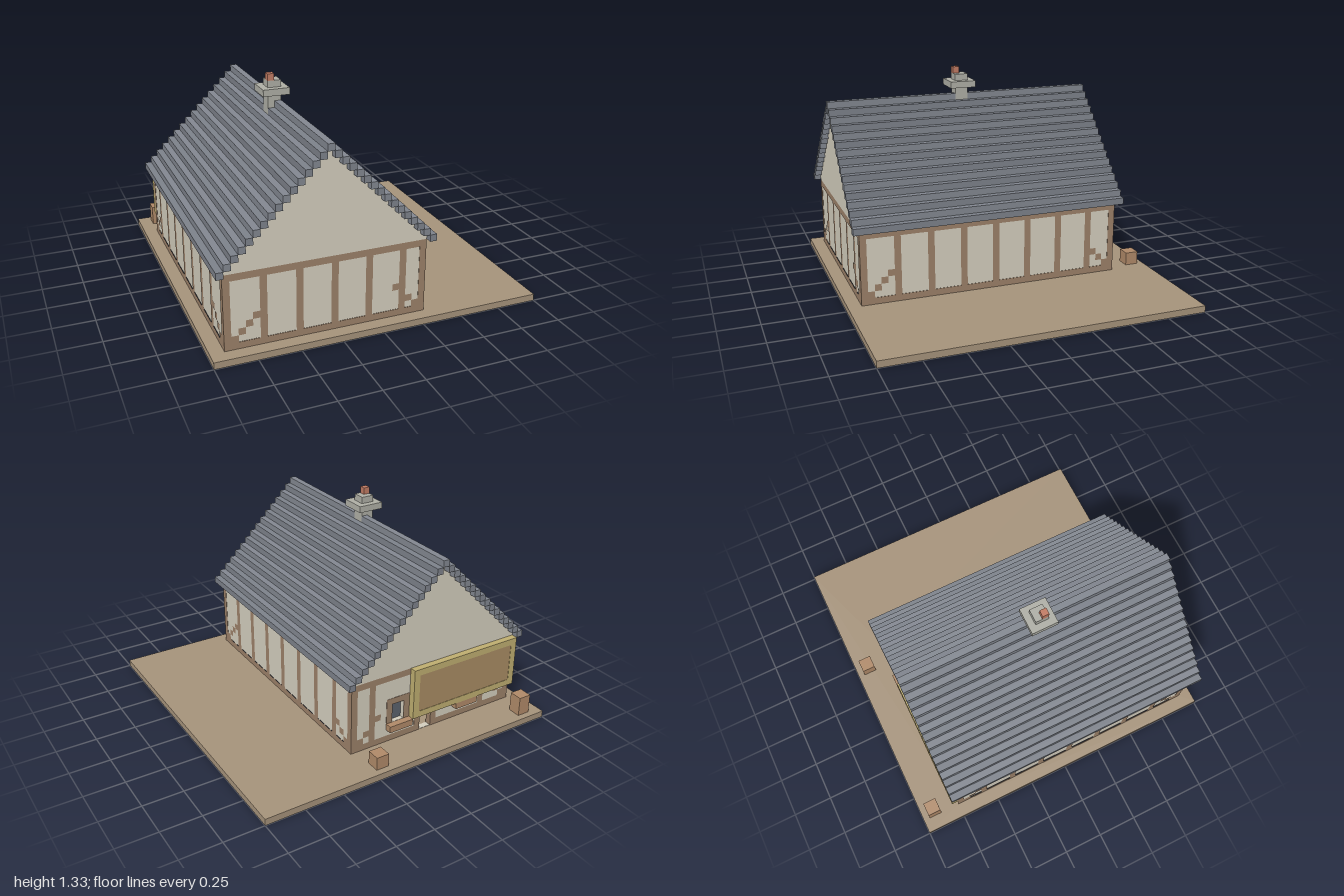
import * as THREE from 'three';

const U = 1 / 24; // one block; the plot is 48 x 48 blocks
const COLORS = {
  ground: 0xa6937b, frame: 0x9c8169, plaster: 0xd4cebe, slate: 0x838891, slateDark: 0x7d828b,
  stone: 0xafafa6, brick: 0xc27c64, gold: 0xbfae70, plank: 0xa98c64, crate: 0xb08a69, glass: 0x5a626c,
};
// The building is a shell seen from inside and below too
const mats = {};
for (const key in COLORS) {
  mats[key] = new THREE.MeshStandardMaterial({ color: COLORS[key], flatShading: true, side: THREE.DoubleSide });
}

// Faces of a box in index order: +x -x +y -y +z -z
const ALL = [0, 1, 2, 3, 4, 5];
const TUBE = [0, 1, 4, 5];
const NO_BOTTOM = [0, 1, 2, 4, 5];
const X_FACES = [0, 1];
const Z_FACES = [4, 5];
const IN = 0.05; // plaster sits a hair behind the timber

function add(parent, name, mat, geometry) {
  const mesh = new THREE.Mesh(geometry, mats[mat]);
  mesh.name = name;
  parent.add(mesh);
  return mesh;
}

// Box spanning block corners a..b, counted from the left/bottom/back of the plot
function block(parent, name, mat, a, b, faces = ALL) {
  const geo = new THREE.BoxGeometry((b[0] - a[0]) * U, (b[1] - a[1]) * U, (b[2] - a[2]) * U);
  const index = Array.from(geo.index.array);
  geo.setIndex(faces.flatMap((f) => index.slice(f * 6, f * 6 + 6)));
  geo.clearGroups();
  add(parent, name, mat, geo).position.set(
    (a[0] + b[0]) / 2 * U - 1, (a[1] + b[1]) / 2 * U, (a[2] + b[2]) / 2 * U - 1);
}

function group(parent, name) {
  const g = new THREE.Group();
  g.name = name;
  parent.add(g);
  return g;
}

const path = (P, points) => new P(points.map(([x, y]) => new THREE.Vector2(x * U, y * U)));
const rect = (P, x0, y0, x1, y1) => path(P, [[x0, y0], [x1, y0], [x1, y1], [x0, y1]]);

// Flat piece of floor at ground level, with an optional hole (x0, z0, x1, z1)
function floorPiece(parent, name, outer, hole) {
  const shape = rect(THREE.Shape, outer[0], -outer[3], outer[2], -outer[1]);
  if (hole) shape.holes.push(rect(THREE.Path, hole[0], -hole[3], hole[2], -hole[1]));
  const geo = new THREE.ShapeGeometry(shape).rotateX(-Math.PI / 2);
  add(parent, name, 'ground', geo).position.set(-1, U, -1);
}

// Timber frame of one wall; put(name, u0, v0, u1, v1) places a piece on the wall
function timber(put, length, posts, bottomGaps = []) {
  let start = 0;
  for (const [g0, g1] of [...bottomGaps, [length, length]]) {
    put('bottomRail', start, 1, g0, 2);
    start = g1;
  }
  put('topRail', 0, 11, length, 12);
  for (const p of posts) put('post', p, 2, p + 1, 11);
  for (let k = 1; k <= 4; k++) {
    put('brace', k, k + 1, k + 1, k + 2);
    put('brace', length - 1 - k, k + 1, length - k, k + 2);
  }
}

export function createModel() {
  const model = new THREE.Group();
  model.name = 'timberHouse';

  // Plot: open underneath, the floor stops at the walls and at the chimney
  const plot = group(model, 'plot');
  block(plot, 'plotEdge', 'ground', [0, 0, 0], [48, 1, 48], TUBE);
  floorPiece(plot, 'yard', [0, 0, 48, 48], [2, 6, 31, 46]);
  floorPiece(plot, 'houseFloor', [3, 7, 30, 45], [15, 25, 17, 27]);
  floorPiece(plot, 'threshold', [17, 6, 19, 7]);

  // Front wall
  const front = group(model, 'frontWall');
  block(front, 'plaster', 'plaster', [3, 2, 45 + IN], [30, 11, 46 - IN], Z_FACES);
  timber((n, u0, v0, u1, v1) => block(front, n, 'frame', [2 + u0, v0, 45], [2 + u1, v1, 46], Z_FACES),
    29, [0, 5, 10, 15, 20, 25, 28]);

  // Side walls
  for (const x of [2, 30]) {
    const side = group(model, x === 2 ? 'rightWall' : 'leftWall');
    block(side, 'plaster', 'plaster', [x + IN, 2, 7], [x + 1 - IN, 11, 45], X_FACES);
    block(side, 'wallTop', 'frame', [x, 11, 7], [x + 1, 12, 45], [2]);
    timber((n, u0, v0, u1, v1) => block(side, n, 'frame', [x, v0, 46 - u1], [x + 1, v1, 46 - u0], X_FACES),
      40, [0, 5, 10, 15, 20, 25, 30, 35, 39]);
  }

  // Back wall with a doorway and two windows cut through
  const back = group(model, 'backWall');
  const wallShape = rect(THREE.Shape, 2.1, 1, 30.9, 11.9);
  const openings = [[10, 4, 12, 7], [17, 1.05, 19, 7], [22, 4, 24, 7]];
  for (const o of openings) wallShape.holes.push(rect(THREE.Path, ...o));
  add(back, 'plaster', 'plaster',
    new THREE.ExtrudeGeometry(wallShape, { depth: (1 - 2 * IN) * U, bevelEnabled: false }))
    .position.set(-1, 0, (6 + IN) * U - 1);
  timber((n, u0, v0, u1, v1) => block(back, n, 'frame', [2 + u0, v0, 6], [2 + u1, v1, 7], Z_FACES),
    29, [0, 5, 25, 28], [[15, 17]]);
  for (const [x0, y0, x1, y1] of openings) {
    for (const x of [x0 - 1, x1]) block(back, 'jamb', 'frame', [x, y0, 6], [x + 1, y1, 7]);
    block(back, 'lintel', 'frame', [x0 - 1, y1, 6], [x1 + 1, y1 + 1, 7]);
    if (y0 > 2) {
      block(back, 'windowPane', 'glass', [x0, y0, 6.75], [x1, y1, 6.95], Z_FACES);
      block(back, 'windowLedge', 'crate', [x0 - 1, 3, 5], [x1 + 1, 4, 6]);
    }
  }

  // Stepped gables
  const gables = group(model, 'gables');
  const leftSteps = [];
  for (let n = 0; n < 15; n++) leftSteps.push([2 + n, 12 + n], [2 + n, 13 + n]);
  const rightSteps = leftSteps.map(([x, y]) => [33 - x, y]).reverse();
  const gableGeo = new THREE.ExtrudeGeometry(path(THREE.Shape, [...leftSteps, ...rightSteps]),
    { depth: U, bevelEnabled: false });
  for (const z of [6, 45]) add(gables, 'gable', 'plaster', gableGeo).position.set(-1, 0, z * U - 1);

  // Stepped roof, broken at the ridge where the chimney passes through
  const roof = group(model, 'roof');
  for (let n = 0; n < 16; n++) {
    const y = 12 + n;
    for (const x of n < 15 ? [1 + n, 31 - n] : [16]) {
      const runs = x === 15 || x === 16 ? [[5, 25], [27, 47]] : [[5, 47]];
      for (const [z0, z1] of runs) {
        block(roof, 'roofStep', n % 2 ? 'slate' : 'slateDark', [x, y, z0], [x + 1, y + 1, z1]);
      }
    }
  }

  // Chimney, standing on the floor with a hollow stack
  const chimney = group(model, 'chimney');
  block(chimney, 'stack', 'stone', [15, 1, 25], [17, 29, 27], TUBE);
  block(chimney, 'collar', 'stone', [14, 29, 24], [18, 30, 28]);
  block(chimney, 'flue', 'stone', [15, 30, 25], [17, 31, 27], NO_BOTTOM);
  block(chimney, 'pot', 'brick', [15, 31, 26], [16, 32, 27], NO_BOTTOM);

  // Plain signboard on the back wall
  const sign = group(model, 'signboard');
  block(sign, 'panel', 'plank', [3, 5, 5 + IN], [20, 11, 6], Z_FACES);
  for (const y of [4, 11]) block(sign, 'border', 'gold', [2, y, 5], [21, y + 1, 6]);
  for (const x of [2, 20]) block(sign, 'border', 'gold', [x, 5, 5], [x + 1, 11, 6]);

  // Crates behind the house
  const crates = group(model, 'crates');
  block(crates, 'smallCrate', 'crate', [28, 1, 1], [30, 3, 3], NO_BOTTOM);
  block(crates, 'tallCrate', 'crate', [2, 1, 1], [4, 3, 3], TUBE);
  block(crates, 'tallCrateTop', 'crate', [2, 3, 1], [4, 4, 3], NO_BOTTOM);

  return model;
}
